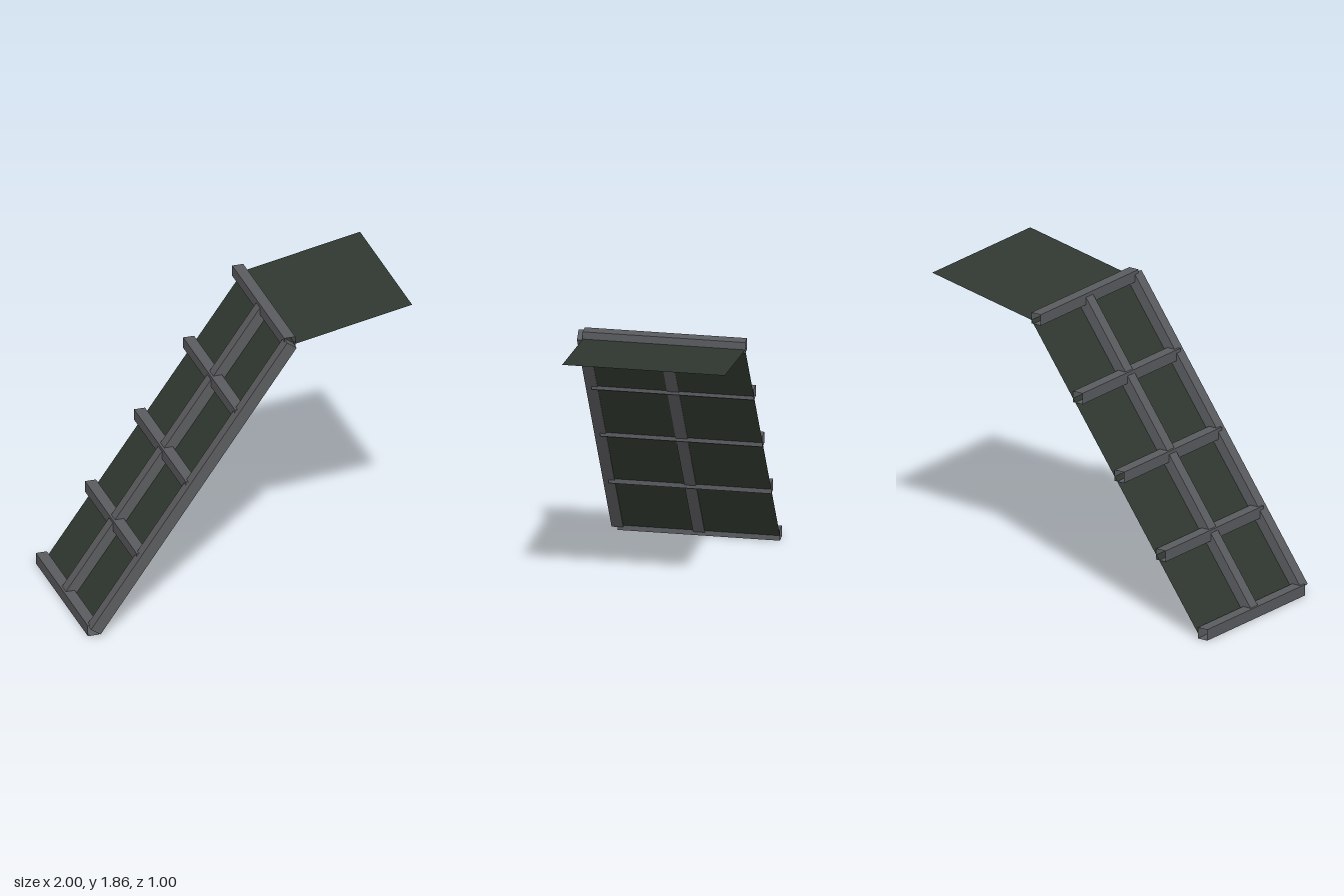
import * as THREE from 'three';

export function createModel() {
  const group = new THREE.Group();
  const steel = new THREE.MeshStandardMaterial({ color: 0x5a5b5e, side: THREE.DoubleSide });
  steel.name = 'greySteel';
  const sheet = new THREE.MeshStandardMaterial({ color: 0x303830, side: THREE.DoubleSide });
  sheet.name = 'darkGreenSheet';

  const add = (name, geometry, material, x, y, z) => {
    const mesh = new THREE.Mesh(geometry, material);
    mesh.name = name;
    mesh.position.set(x, y, z);
    group.add(mesh);
    return mesh;
  };

  // Sloping rails: one along the front edge, one along the middle
  const slope = Math.atan2(1.695, 1.21);
  const rail = new THREE.BoxGeometry(2.083, 0.072, 0.07);
  add('frontRail', rail, steel, -0.3585, 0.886, 0.465).rotation.z = slope;
  add('middleRail', rail, steel, -0.3585, 0.886, -0.019).rotation.z = slope;

  // Level crossbars: square tubes with open ends
  const size = 0.068, depth = 0.965, midZ = -0.0175;
  const tube = new THREE.BoxGeometry(size, size, depth);
  tube.setIndex(Array.from(tube.index.array).slice(0, 24)); // drop both z ends
  tube.clearGroups();
  for (let i = 0; i < 5; i++) {
    add('crossbar' + (i + 1), tube, steel, -0.966 + i * 0.3028, 0.034 + i * 0.425, midZ);
  }

  // Thin sheets: the sloping panel and the flap continuing from its top edge
  const addSheet = (name, x0, y0, x1, y1) => {
    const plane = new THREE.PlaneGeometry(Math.hypot(x1 - x0, y1 - y0), depth);
    plane.rotateX(-Math.PI / 2);
    add(name, plane, sheet, (x0 + x1) / 2, (y0 + y1) / 2, midZ)
      .rotation.z = Math.atan2(y1 - y0, x1 - x0);
  };
  addSheet('slopingPanel', -0.932, 0.032, 0.28, 1.722);
  addSheet('topFlap', 0.28, 1.722, 1, 1.86);

  return group;
}
